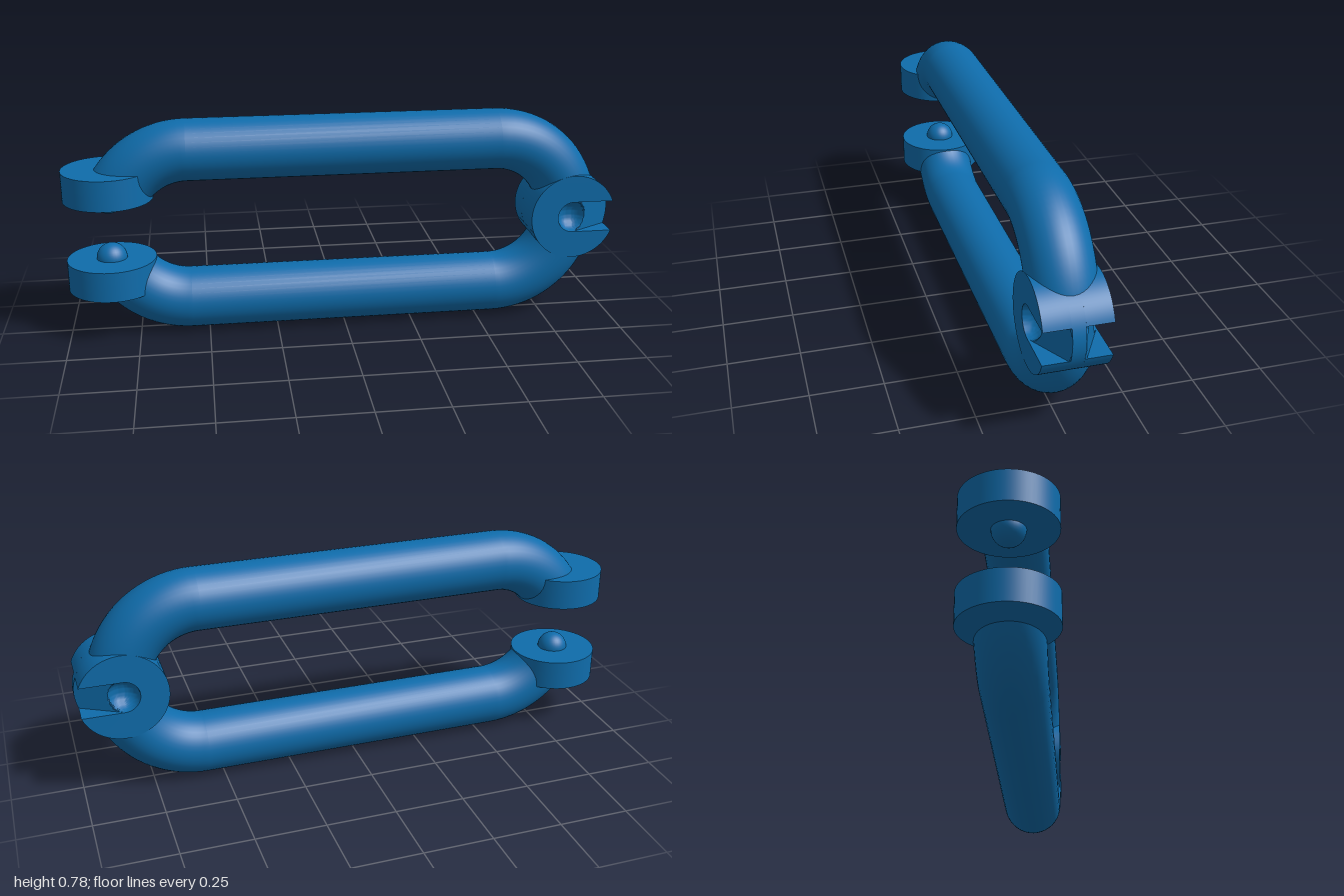
import * as THREE from 'three';
import { mergeVertices, toCreasedNormals } from 'three/addons/utils/BufferGeometryUtils.js';

const MID = 0.393;        // height of the link's centre line
const HALF = 0.56;        // half length of the straight bars
const BEND = 0.28;        // bend radius of the bar centre line
const BAR = 0.111;        // bar radius
const END = 0.84;         // x of the hub and of the end discs
const HUB = 0.157;        // hub radius
const SOCKET = 0.057;     // socket radius, also half the slot height
const WEB = 0.022;        // half thickness of the wall between the sockets

const material = new THREE.MeshStandardMaterial({ color: 0x0f6cab });

function add(parent, name, geometry, x = 0, y = 0, z = 0) {
  const mesh = new THREE.Mesh(geometry, material);
  mesh.name = name;
  mesh.position.set(x, y, z);
  parent.add(mesh);
  return mesh;
}

// Round bar with a bend at each end; the bends stop on level planes inside disc and hub
function barGeometry() {
  const steps = 20;
  const geo = new THREE.PlaneGeometry(1, 1, 2 * steps + 1, 40);
  const pos = geo.attributes.position, uv = geo.attributes.uv;
  for (let i = 0; i < pos.count; i++) {
    const ring = Math.round(uv.getX(i) * (2 * steps + 1));
    const phi = -2 * Math.PI * uv.getY(i);
    const left = ring <= steps;
    const t = left ? ring / steps : (2 * steps + 1 - ring) / steps;
    const rho = BEND + BAR * Math.cos(phi);
    const start = Math.asin((left ? 0.113 : 0.06) / rho);
    const a = start + (Math.PI / 2 - start) * t;
    const x = HALF + rho * Math.cos(a);
    pos.setXYZ(i, left ? -x : x, rho * Math.sin(a), BAR * Math.sin(phi));
  }
  geo.deleteAttribute('uv');
  geo.deleteAttribute('normal');
  const merged = mergeVertices(geo, 1e-5);
  merged.computeVertexNormals();
  return merged;
}

// Hub cheek: a disc with a round-ended slot open to the outside
function cheekGeometry() {
  const b = Math.asin(SOCKET / HUB);
  const shape = new THREE.Shape();
  shape.absarc(0, 0, HUB, b, 2 * Math.PI - b, false);
  shape.lineTo(0, -SOCKET);
  shape.absarc(0, 0, SOCKET, -Math.PI / 2, -1.5 * Math.PI, true);
  shape.closePath();
  const geo = new THREE.ExtrudeGeometry(shape, { depth: BAR - WEB, bevelEnabled: false, curveSegments: 40 });
  return toCreasedNormals(geo, 0.5);
}

// Slot floor: a spherical socket running into a ramp that deepens outwards
function slotFloorGeometry() {
  const geo = new THREE.PlaneGeometry(1, 1, 40, 28);
  const pos = geo.attributes.position, uv = geo.attributes.uv;
  for (let i = 0; i < pos.count; i++) {
    const y = SOCKET * Math.sin((uv.getY(i) - 0.5) * Math.PI);
    const x0 = -Math.sqrt(Math.max(0, SOCKET ** 2 - y * y));
    const x1 = Math.sqrt(HUB ** 2 - y * y);
    const x = x0 + (x1 - x0) * uv.getX(i);
    const bowl = Math.sqrt(Math.max(0, SOCKET ** 2 - x * x - y * y));
    pos.setXYZ(i, x, y, BAR - Math.max(bowl, 0.57 * x));
  }
  return toCreasedNormals(geo, 0.5);
}

export function createModel() {
  const link = new THREE.Group();
  link.name = 'chainLink';

  // Upper and lower arms: bar, end disc and snap stud, the lower one turned over
  const bar = barGeometry();
  const disc = new THREE.CylinderGeometry(0.159, 0.159, 0.11, 64);
  const stud = new THREE.SphereGeometry(0.055, 32, 20);
  for (const upper of [true, false]) {
    const arm = new THREE.Group();
    arm.name = upper ? 'upperArm' : 'lowerArm';
    arm.position.y = MID;
    if (!upper) arm.rotation.x = Math.PI;
    add(arm, 'bar', bar);
    add(arm, 'endDisc', disc, -END, 0.167, 0);
    add(arm, 'snapStud', stud, -END, 0.112, 0);
    link.add(arm);
  }

  // Hub: central wall with a slotted cheek on each face
  const hub = new THREE.Group();
  hub.name = 'hub';
  hub.position.set(END, MID, 0);
  link.add(hub);
  add(hub, 'hubWall', new THREE.CylinderGeometry(HUB, HUB, 2 * WEB, 64)).rotation.x = Math.PI / 2;
  const cheek = cheekGeometry(), floor = slotFloorGeometry();
  for (const front of [true, false]) {
    const side = new THREE.Group();
    side.name = front ? 'frontSocket' : 'backSocket';
    if (!front) side.rotation.x = Math.PI;
    add(side, 'cheek', cheek, 0, 0, WEB);
    add(side, 'slotFloor', floor);
    hub.add(side);
  }
  return link;
}
